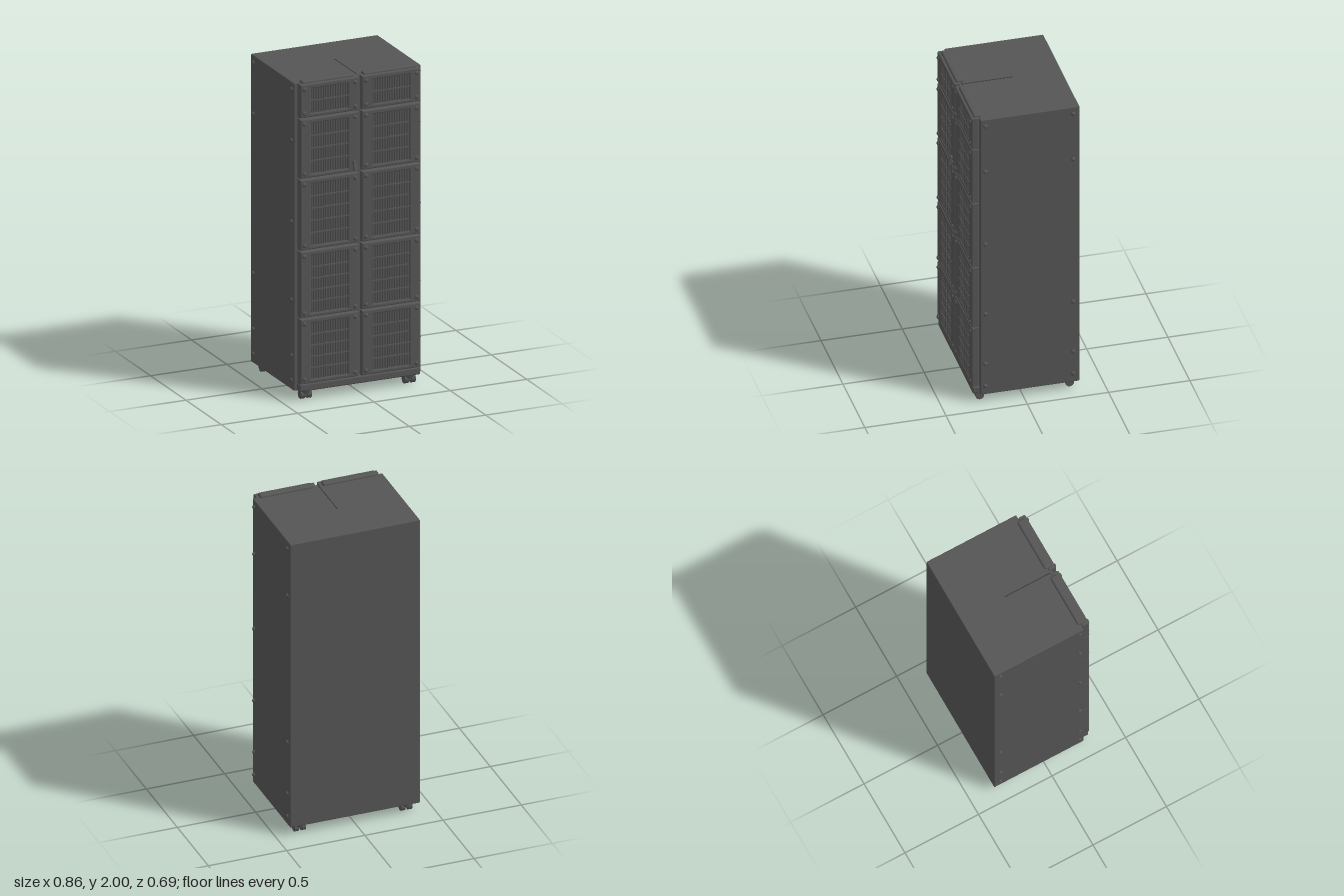
import * as THREE from 'three';
import { RoundedBoxGeometry } from 'three/addons/geometries/RoundedBoxGeometry.js';

export function createModel() {
  const model = new THREE.Group();
  model.name = 'ventedCabinet';

  const steel = new THREE.MeshStandardMaterial({ color: 0x555556 });
  steel.name = 'grey steel';
  const shade = new THREE.MeshStandardMaterial({ color: 0x3a3a3b });
  shade.name = 'dark recess';

  const add = (parent, name, geometry, x, y, z, material = steel) => {
    const mesh = new THREE.Mesh(geometry, material);
    mesh.name = name;
    mesh.position.set(x, y, z);
    parent.add(mesh);
    return mesh;
  };
  const box = (w, h, d) => new THREE.BoxGeometry(w, h, d);
  const rounded = (w, h, d, r) => new RoundedBoxGeometry(w, h, d, 2, r);

  // Main housing and base
  add(model, 'housing', rounded(0.83, 1.93, 0.61, 0.006), 0, 1.02, -0.04);
  add(model, 'baseRail', rounded(0.79, 0.045, 0.05, 0.008), 0, 0.08, 0.282);
  add(model, 'bottomPlate', box(0.2, 0.008, 0.54), 0, 0.053, -0.005);
  add(model, 'topSeam', box(0.006, 0.003, 0.31), -0.005, 1.985, 0.11, shade);

  // Domed screw heads, flattened along the direction they face
  const dome = new THREE.SphereGeometry(0.014, 10, 6);
  const screw = (parent, x, y, z, depth = 0.6) => {
    const s = add(parent, 'screw', dome, x, y, z);
    s.scale.z = depth;
    return s;
  };

  // Rounded panel with a window cut through it
  const panelGeometry = (w, h, hole) => {
    const b = 0.008;
    const s = new THREE.Shape();
    const x = w / 2 - b, y = h / 2 - b;
    s.moveTo(-x, -y).lineTo(x, -y).lineTo(x, y).lineTo(-x, y).closePath();
    const p = new THREE.Path();
    const [l, r, bottom, top] = hole;
    p.moveTo(l - b, bottom - b).lineTo(l - b, top + b).lineTo(r + b, top + b).lineTo(r + b, bottom - b).closePath();
    s.holes.push(p);
    return new THREE.ExtrudeGeometry(s, {
      depth: 0.032, bevelEnabled: true, bevelThickness: b, bevelSize: b, bevelSegments: 2,
    });
  };

  // Two columns of five vented panels: [panel bottom, panel top, horizontal bars]
  const rows = [
    [0.105, 0.513, 4], [0.52, 0.936, 4], [0.944, 1.386, 4], [1.394, 1.766, 3], [1.774, 1.985, 1],
  ];
  const panelW = 0.382, winW = 0.24, slats = 15;
  for (const side of [-1, 1]) {
    const cx = side < 0 ? -0.203 : 0.2;
    for (const [y0, y1, bars] of rows) {
      const h = y1 - y0;
      const panel = new THREE.Group();
      panel.name = side < 0 ? 'rightVentPanel' : 'leftVentPanel';
      panel.position.set(cx, (y0 + y1) / 2, 0.267);
      model.add(panel);

      const top = h / 2 - 0.032, bottom = -h / 2 + 0.026;
      const winH = top - bottom, wy = (top + bottom) / 2;
      add(panel, 'panelFrame', panelGeometry(panelW, h, [-winW / 2, winW / 2, bottom, top]), 0, 0, 0.006);
      add(panel, 'ventBacking', box(winW + 0.02, winH + 0.02, 0.01), 0, wy, 0.018, shade);
      for (let i = 0; i < slats; i++) {
        const x = -winW / 2 + (i + 0.5) * winW / slats;
        add(panel, 'ventSlat', box(0.0095, winH + 0.01, 0.02), x, wy, 0.031);
      }
      for (let i = 1; i <= bars; i++) {
        add(panel, 'ventCrossbar', box(winW + 0.01, 0.007, 0.022), 0, bottom + winH * i / (bars + 1), 0.033);
      }
      for (const sx of [-1, 1]) for (const sy of [-1, 1]) {
        screw(panel, sx * 0.166, sy * (h / 2 - 0.03), 0.048);
      }
    }
    add(model, 'topLip', rounded(0.345, 0.06, 0.052, 0.012), side < 0 ? -0.203 : 0.2, 1.97, 0.271);
  }
  add(model, 'centreChannel', box(0.026, 1.87, 0.02), -0.002, 1.045, 0.27);

  // Latch on one door
  const latch = add(model, 'latch', rounded(0.02, 0.065, 0.018, 0.006), -0.046, 1.435, 0.328);
  latch.rotation.x = -0.28;

  // Side screws along the front and back edges
  for (const side of [-1, 1]) {
    for (const z of [0.235, -0.305]) {
      for (const y of [0.115, 0.27, 0.62, 1.11, 1.62, 1.94]) {
        if (z < 0 && y === 1.11) continue;
        const s = screw(model, side * 0.415, y, z, 0.95);
        s.rotation.y = side * Math.PI / 2;
      }
    }
  }

  // Twin-wheel casters
  const wheel = new THREE.CylinderGeometry(0.027, 0.027, 0.026, 16).rotateZ(Math.PI / 2);
  for (const x of [-0.34, 0.34]) for (const z of [0.258, -0.295]) {
    const caster = new THREE.Group();
    caster.name = 'caster';
    caster.position.set(x, 0, z);
    model.add(caster);
    add(caster, 'casterMount', new THREE.CylinderGeometry(0.036, 0.03, 0.026, 16), 0, 0.046, 0);
    add(caster, 'casterAxle', box(0.03, 0.022, 0.022), 0, 0.028, 0);
    for (const s of [-1, 1]) add(caster, 'casterWheel', wheel, s * 0.022, 0.027, 0);
  }
  return model;
}
